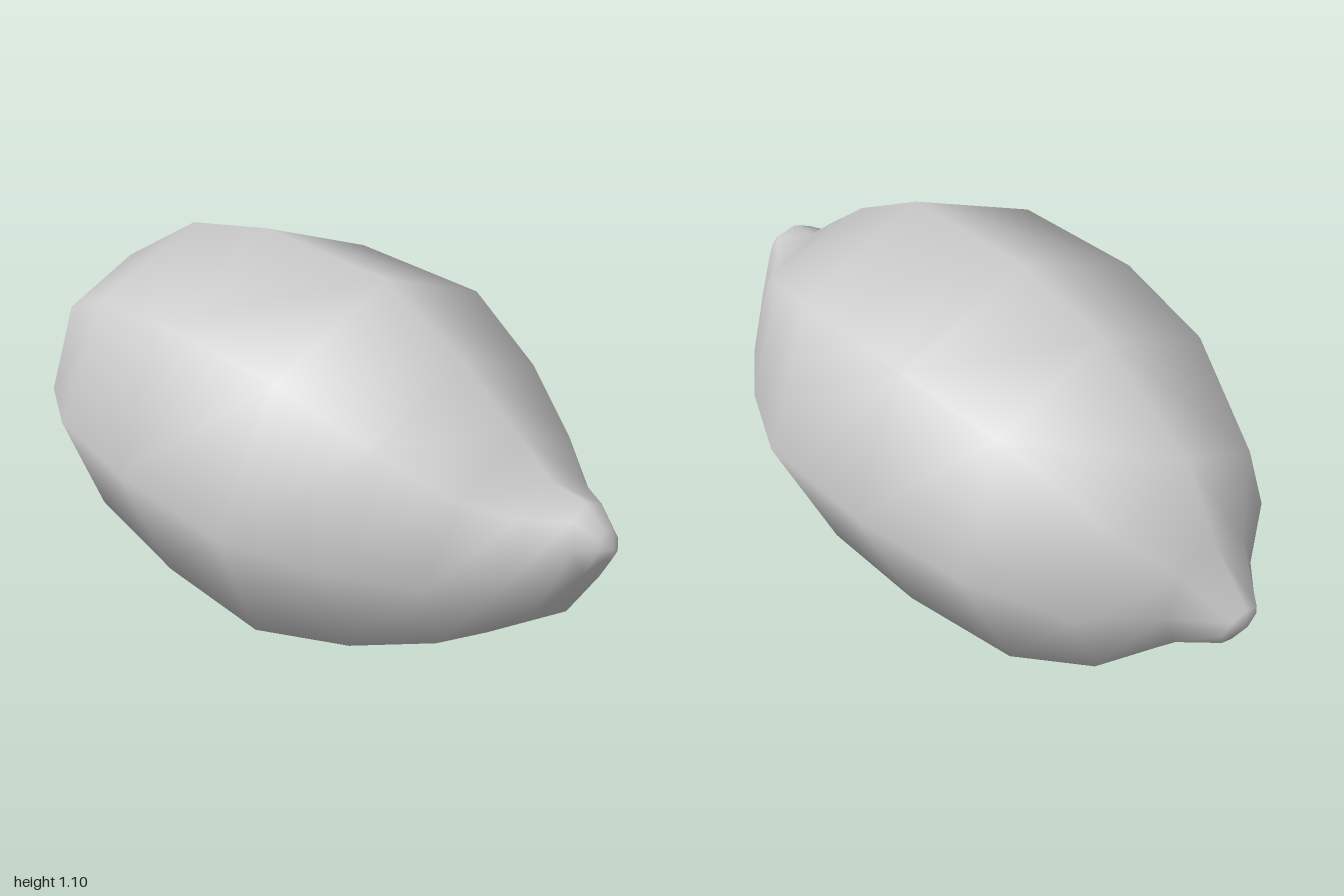
import * as THREE from 'three';

const SIDES = 8;

// Slightly tilted cross-sections: top x, top y, bottom x, bottom y, half width in z
const RINGS = [
  [-0.99, 0.54, -0.96, 0.42, 0.06],
  [-0.87, 0.67, -0.87, 0.36, 0.15],
  [-0.76, 0.85, -0.73, 0.195, 0.33],
  [-0.46, 1.035, -0.54, 0.085, 0.475],
  [-0.16, 1.1, -0.17, 0.025, 0.54],
  [0.27, 1.085, 0.17, 0.005, 0.545],
  [0.53, 0.95, 0.44, 0.09, 0.435],
  [0.71, 0.815, 0.66, 0.205, 0.31],
  [0.81, 0.735, 0.89, 0.395, 0.17],
  [0.91, 0.72, 0.97, 0.54, 0.08],
  [0.97, 0.67, 0.997, 0.6, 0.04],
];
const BLOSSOM_TIP = [-1, 0.495, 0];
const STEM_TIP = [1, 0.63, 0];

// Joins the octagonal rings into one closed, smooth-shaded skin
function fruitGeometry() {
  const points = [];
  for (const [tx, ty, bx, by, halfWidth] of RINGS) {
    for (let i = 0; i < SIDES; i++) {
      const a = (i / SIDES) * Math.PI * 2;
      const t = (1 - Math.cos(a)) / 2;
      points.push(tx + (bx - tx) * t, ty + (by - ty) * t, Math.sin(a) * halfWidth);
    }
  }
  const start = RINGS.length * SIDES;
  points.push(...BLOSSOM_TIP, ...STEM_TIP);

  const faces = [];
  const last = (RINGS.length - 1) * SIDES;
  for (let i = 0; i < SIDES; i++) {
    const j = (i + 1) % SIDES;
    for (let r = 0; r < last; r += SIDES) {
      const a = r + i, b = r + j, c = a + SIDES, d = b + SIDES;
      faces.push(a, b, c, b, d, c);
    }
    // Fans closing the two tips
    faces.push(start, j, i, start + 1, last + i, last + j);
  }

  const geometry = new THREE.BufferGeometry();
  geometry.setAttribute('position', new THREE.Float32BufferAttribute(points, 3));
  geometry.setIndex(faces);
  geometry.computeVertexNormals();
  return geometry;
}

export function createModel() {
  const group = new THREE.Group();
  group.name = 'lemon';
  const fruit = new THREE.Mesh(
    fruitGeometry(),
    new THREE.MeshStandardMaterial({ color: 0xcccccc })
  );
  fruit.name = 'fruit';
  group.add(fruit);
  return group;
}
